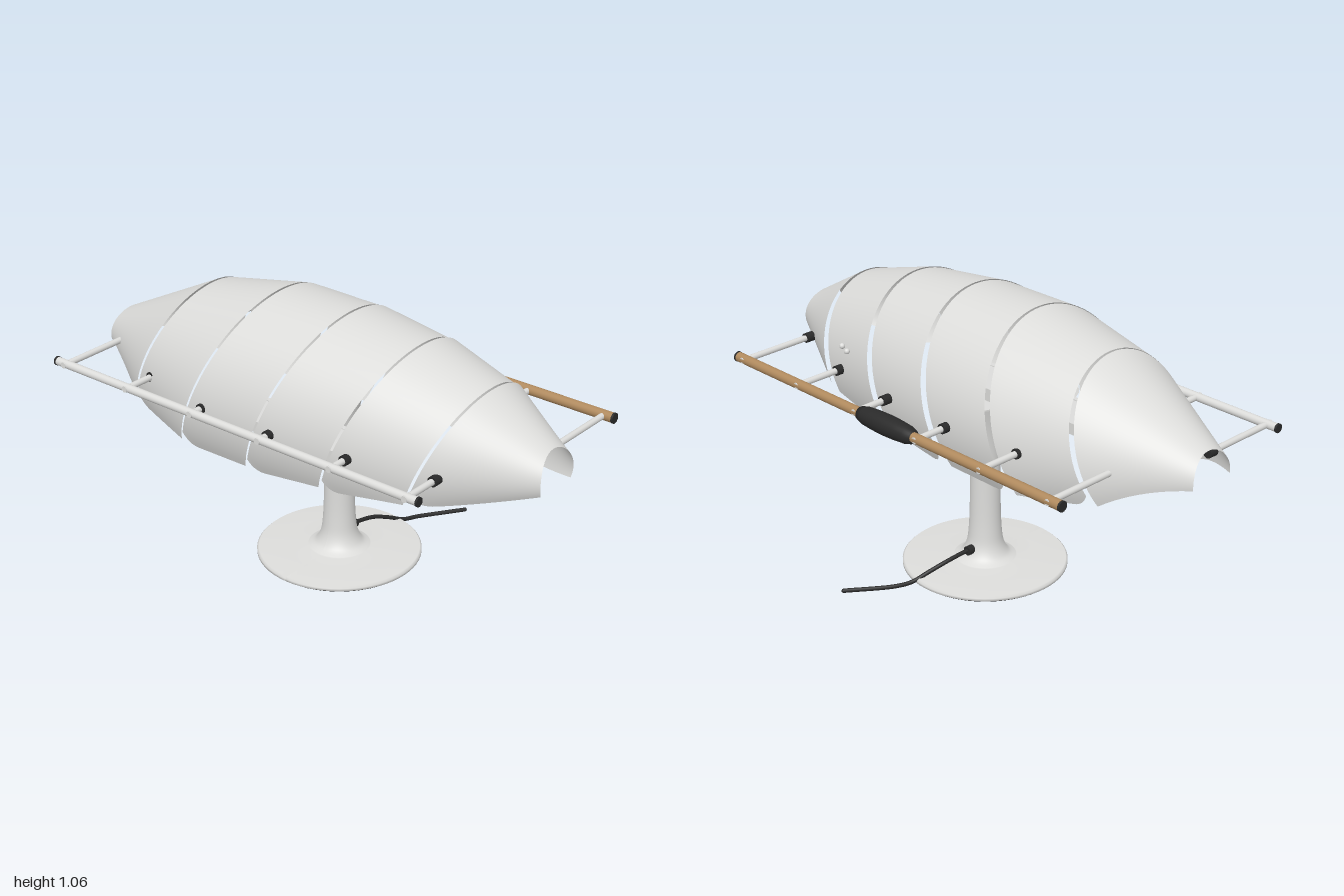
import * as THREE from 'three';

const white = new THREE.MeshStandardMaterial({ name: 'whiteEnamel', color: 0xdcdcda, side: THREE.DoubleSide });
const wood = new THREE.MeshStandardMaterial({ name: 'wood', color: 0xb08a5e });
const black = new THREE.MeshStandardMaterial({ name: 'blackRubber', color: 0x2a2a2a });

const AXIS_Z = 0.095;

function add(parent, name, geometry, material, x = 0, y = 0, z = 0) {
  const mesh = new THREE.Mesh(geometry, material);
  mesh.name = name;
  mesh.position.set(x, y, z);
  parent.add(mesh);
  return mesh;
}

function rod(parent, name, material, axis, radius, length, x, y, z) {
  const g = new THREE.CylinderGeometry(radius, radius, length, 20);
  if (axis === 'x') g.rotateZ(Math.PI / 2);
  if (axis === 'z') g.rotateX(Math.PI / 2);
  return add(parent, name, g, material, x, y, z);
}

// Seams of the canopy: top x, radius, centre height, lean, side bulge, end angle below horizontal
const seams = [
  { x: -0.98, r: 0.097, y: 0.68, lean: 0, bulge: -0.02, end: 8 },
  { x: -0.535, r: 0.295, y: 0.705, lean: 0.39, bulge: 0, end: 31 },
  { x: -0.19, r: 0.38, y: 0.685, lean: 0.39, bulge: 0, end: 27 },
  { x: 0.13, r: 0.385, y: 0.68, lean: 0.39, bulge: 0, end: 26 },
  { x: 0.44, r: 0.36, y: 0.67, lean: 0.4, bulge: 0, end: 22 },
  { x: 0.73, r: 0.305, y: 0.645, lean: 0.39, bulge: 0, end: 14 },
  { x: 0.98, r: 0.098, y: 0.707, lean: 0, bulge: 0.02, end: 25 },
];

function seamPoint(s, angle, shift, shrink) {
  const c = Math.cos(angle), r = s.r * (1 - shrink * c * c);
  const y = s.y + r * Math.sin(angle);
  return new THREE.Vector3(s.x + shift - s.lean * (s.y + s.r - y) + s.bulge * c * c, y, AXIS_Z + r * c);
}

// One curved panel ruled between two neighbouring seams, with a rounded lower left corner
function panelGeometry(a, b, index) {
  const nu = 14, nt = 56, pos = [], idx = [];
  for (let i = 0; i <= nu; i++) {
    const u = (i / nu) ** 1.5;
    const corner = index > 0 ? 9 * Math.max(0, 1 - u / 0.25) ** 2 : 0;
    const low = THREE.MathUtils.degToRad(-(a.end + (b.end - a.end) * u - corner));
    for (let j = 0; j <= nt; j++) {
      const t = low + (Math.PI - 2 * low) * (j / nt);
      const side = Math.cos(t) ** 2;
      const p = seamPoint(a, t, index > 0 ? 0.005 + 0.006 * side : 0, 0);
      p.lerp(seamPoint(b, t, index < 5 ? -0.005 : 0, index < 5 ? 0.03 : 0), u);
      pos.push(p.x, p.y, p.z);
      if (i < nu && j < nt) {
        const k = i * (nt + 1) + j, n = k + nt + 1;
        idx.push(k, n, k + 1, n, n + 1, k + 1);
      }
    }
  }
  const g = new THREE.BufferGeometry();
  g.setAttribute('position', new THREE.Float32BufferAttribute(pos, 3));
  g.setIndex(idx);
  // Keep the outside of the shell as the front face
  g.computeVertexNormals();
  const mid = 7 * (nt + 1) + nt / 2;
  if (g.attributes.normal.getY(mid) < 0) {
    g.setIndex(idx.map((_, i) => idx[i - (i % 3) + 2 - (i % 3)]));
    g.computeVertexNormals();
  }
  return g;
}

function stadium(length, width, Type = THREE.Shape) {
  const s = new Type(), h = (length - width) / 2, r = width / 2;
  s.absarc(h, 0, r, -Math.PI / 2, Math.PI / 2);
  s.absarc(-h, 0, r, Math.PI / 2, Math.PI * 1.5);
  s.closePath();
  return s;
}

function flatExtrude(shape, depth) {
  return new THREE.ExtrudeGeometry(shape, { depth, bevelEnabled: false, curveSegments: 20 }).rotateX(-Math.PI / 2);
}

function side(parent, name, xs, shellZ, barZ, y) {
  const group = new THREE.Group();
  group.name = name;
  parent.add(group);
  const d = Math.sign(barZ);
  xs.forEach((x, i) => {
    const z0 = shellZ[i];
    rod(group, 'strut', white, 'z', 0.012, Math.abs(barZ - z0) + 0.018, x, y, (barZ + z0) / 2 + d * 0.009);
    rod(group, 'strutCollar', black, 'z', 0.019, 0.036, x, y, z0 + d * 0.008);
  });
  return group;
}

export function createModel() {
  const model = new THREE.Group();
  model.name = 'lamp';

  // Segmented canopy
  const canopy = new THREE.Group();
  canopy.name = 'canopy';
  model.add(canopy);
  for (let i = 0; i < 6; i++) add(canopy, 'shadePanel', panelGeometry(seams[i], seams[i + 1], i), white);
  for (const [x, z] of [[0.47, -0.242], [0.52, -0.222]])
    add(canopy, 'shadeButton', new THREE.SphereGeometry(0.011, 16, 12), white, x, 0.79, z);

  // Front rail
  const front = side(model, 'frontRail', [-0.9, -0.58, -0.26, 0.06, 0.38, 0.7],
    [0.2, 0.38, 0.455, 0.465, 0.435, 0.36], 0.52, 0.705);
  rod(front, 'frontBar', white, 'x', 0.016, 1.69, -0.1, 0.705, 0.52);
  for (const x of [-0.947, 0.747]) rod(front, 'barCap', black, 'x', 0.0175, 0.008, x, 0.705, 0.52);

  // Back rail with grip
  const back = side(model, 'backRail', [-0.745, -0.425, -0.105, 0.215, 0.535, 0.855],
    [-0.105, -0.235, -0.28, -0.275, -0.22, -0.1], -0.42, 0.69);
  rod(back, 'backBar', wood, 'x', 0.019, 1.69, 0.05, 0.69, -0.42);
  for (const x of [-0.797, 0.897]) rod(back, 'barCap', black, 'x', 0.02, 0.008, x, 0.69, -0.42);
  const gripProfile = [[0, -0.14], [0.026, -0.138], [0.034, -0.11], [0.038, -0.06], [0.04, 0],
    [0.038, 0.06], [0.034, 0.11], [0.026, 0.138], [0, 0.14]].map(([r, y]) => new THREE.Vector2(r, y));
  add(back, 'grip', new THREE.LatheGeometry(gripProfile, 28).rotateZ(Math.PI / 2), black, 0.055, 0.69, -0.42);

  // Hollow pedestal: round foot, slim column and a top that widens front to back
  const curve = new THREE.SplineCurve([[0.12, 0.032], [0.09, 0.05], [0.07, 0.09], [0.062, 0.15], [0.058, 0.25],
    [0.057, 0.42], [0.06, 0.52], [0.066, 0.6], [0.075, 0.67]].map(([r, y]) => new THREE.Vector2(r, y)));
  const profile = [[0.305, 0.004], [0.313, 0.008], [0.313, 0.018], [0.306, 0.025], [0.2, 0.026]]
    .map(([r, y]) => new THREE.Vector2(r, y)).concat(curve.getPoints(40));
  const column = new THREE.LatheGeometry(profile, 64);
  const p = column.attributes.position;
  for (let i = 0; i < p.count; i++) {
    const k = Math.max(0, p.getY(i) - 0.45) / 0.22;
    p.setZ(i, p.getZ(i) * (1 + 0.55 * k));
  }
  column.computeVertexNormals();
  add(model, 'pedestal', column, white, -0.015, 0, 0);
  add(model, 'pedestalTop', new THREE.CylinderGeometry(0.075, 0.075, 0.006, 40).scale(1, 1, 1.55), white, -0.015, 0.67, 0);
  add(model, 'footRing', new THREE.TorusGeometry(0.3, 0.008, 10, 64).rotateX(Math.PI / 2), black, -0.015, 0.008, 0);

  // Light tray under the canopy
  const tray = new THREE.Group();
  tray.name = 'lightTray';
  tray.position.set(0, 0, 0.232);
  model.add(tray);
  const rim = stadium(0.86, 0.176);
  rim.holes.push(stadium(0.82, 0.136, THREE.Path));
  add(tray, 'trayRim', flatExtrude(rim, 0.045), white, 0, 0.587, 0);
  add(tray, 'trayFloor', flatExtrude(stadium(0.84, 0.156), 0.012), white, 0, 0.617, 0);
  add(tray, 'trayBoss', new THREE.CylinderGeometry(0.03, 0.03, 0.04, 24), white, 0, 0.648, -0.035);

  // Bracket tying tray, column and canopy together
  add(model, 'bracketArm', new THREE.BoxGeometry(0.05, 0.012, 0.2), white, -0.015, 0.662, 0.14);
  add(model, 'bracketKnob', new THREE.CylinderGeometry(0.018, 0.018, 0.035, 20), white, -0.015, 0.64, 0.105);
  rod(model, 'crossPin', white, 'z', 0.007, 0.19, -0.015, 0.7, 0.095);
  add(model, 'pivotBlock', new THREE.BoxGeometry(0.06, 0.055, 0.032), white, -0.015, 0.695, 0.015);

  // Power cable
  const path = new THREE.CatmullRomCurve3([[-0.015, 0.08, -0.07], [-0.01, 0.077, -0.12], [0.0, 0.065, -0.19],
    [0.02, 0.042, -0.255], [0.045, 0.014, -0.32], [0.07, 0.009, -0.38], [0.18, 0.009, -0.54]]
    .map((v) => new THREE.Vector3(...v)));
  add(model, 'cable', new THREE.TubeGeometry(path, 60, 0.008, 10), black);
  rod(model, 'cableCollar', black, 'z', 0.018, 0.03, -0.015, 0.079, -0.08);
  add(model, 'cableTip', new THREE.SphereGeometry(0.008, 12, 8), black, 0.18, 0.009, -0.54);

  return model;
}
